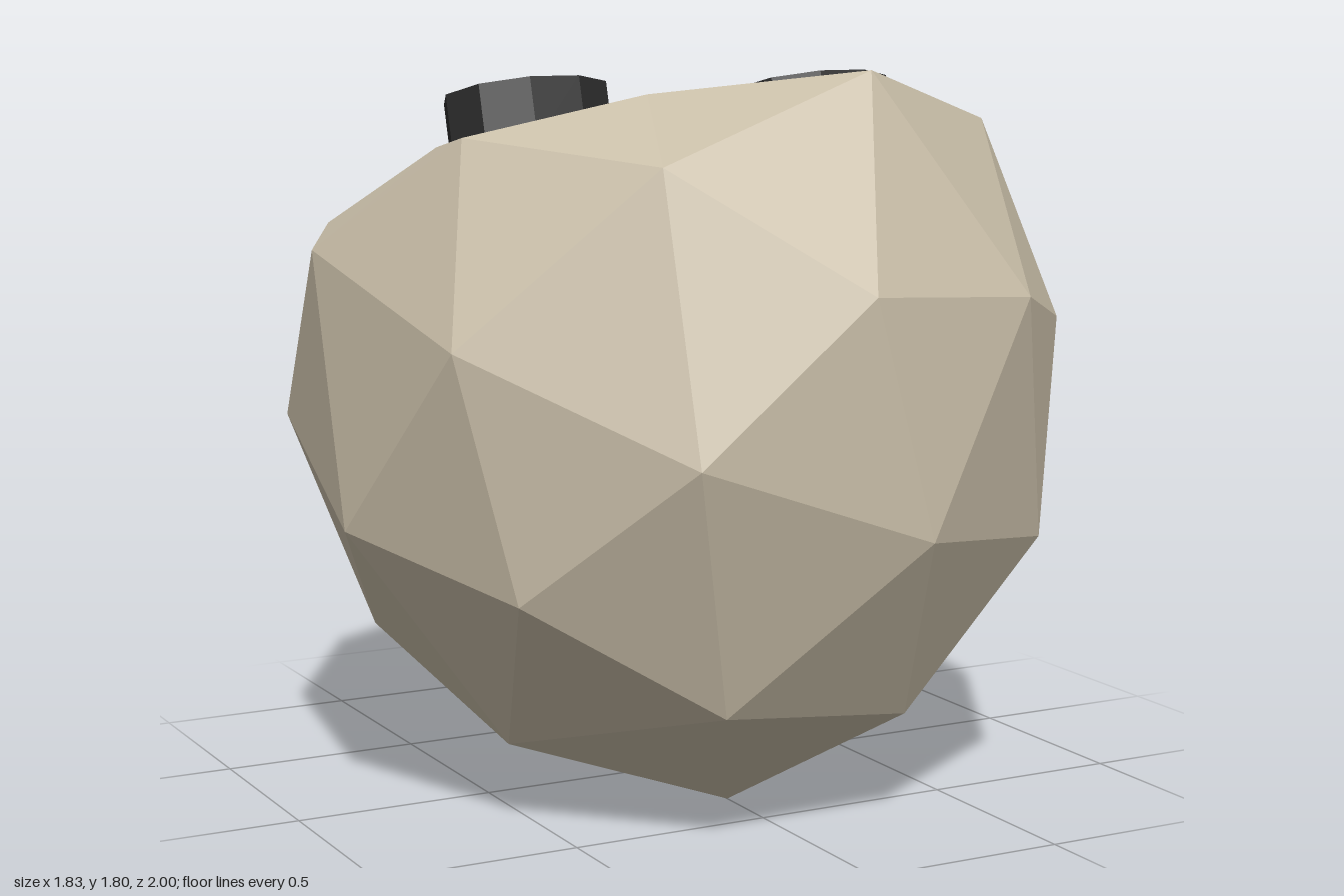
import * as THREE from 'three';

export function createModel() {
  const bone = new THREE.MeshStandardMaterial({ color: 0xcbc0aa, flatShading: true });
  bone.name = 'bone';
  const dark = new THREE.MeshStandardMaterial({ color: 0x2d2d2d, flatShading: true });
  dark.name = 'dark sockets';

  const model = new THREE.Group();
  model.name = 'skull';

  // Head frame: local y is the face normal, local -z points to the chin
  const head = new THREE.Group();
  head.name = 'head';
  head.position.set(0, 1.05, 0.03);
  head.rotation.x = -0.272;
  model.add(head);

  const add = (parent, name, geometry, material, x = 0, y = 0, z = 0) => {
    const mesh = new THREE.Mesh(geometry, material);
    mesh.name = name;
    mesh.position.set(x, y, z);
    parent.add(mesh);
    return mesh;
  };

  // Cranium: faceted ball, its face side pressed to a shallow dome
  const ball = new THREE.IcosahedronGeometry(1, 1);
  ball.rotateY(-1.01722);
  const p = ball.attributes.position;
  for (let i = 0; i < p.count; i++) {
    const y = p.getY(i);
    if (y > 0.44 && Math.abs(p.getZ(i)) < 0.8) p.setY(i, 0.44 + (y - 0.44) * 0.236);
  }
  ball.scale(0.962, 1.085, 1);
  ball.computeVertexNormals();
  add(head, 'cranium', ball, bone);

  // Eye sockets: ten-sided oval discs
  for (const side of [-1, 1]) {
    const eye = new THREE.CylinderGeometry(0.206, 0.206, 0.15, 10);
    eye.rotateY(Math.PI / 2);
    eye.scale(1, 1, 0.88);
    add(head, side > 0 ? 'leftEye' : 'rightEye', eye, dark, side * 0.395, 0.587, 0.174);
  }

  // Nose: triangular prism pointing to the chin
  const nose = new THREE.CylinderGeometry(0.1, 0.1, 0.1, 3);
  nose.rotateY(Math.PI);
  add(head, 'nose', nose, dark, 0, 0.604, -0.061);

  // Row of six teeth
  for (let i = 0; i < 6; i++) {
    add(head, 'tooth', new THREE.BoxGeometry(0.08, 0.1, 0.138), bone, (i - 2.5) * 0.1055, 0.516, -0.597);
  }

  // Jaw: bar bent around the chin; corners are [y, z] for top/bottom, inner/outer
  const middle = { topIn: [1.36, -0.875], topOut: [1.306, -1], lowIn: [1.22, -0.79], lowOut: [1.15, -0.91] };
  const end = { topIn: [1.26, -0.815], topOut: [1.243, -0.907], lowIn: [1.17, -0.79], lowOut: [1.18, -0.875] };
  const jaw = new THREE.BoxGeometry(2, 2, 2, 2, 1, 1);
  const q = jaw.attributes.position;
  for (let i = 0; i < q.count; i++) {
    const x = q.getX(i);
    const corner = (q.getY(i) > 0 ? 'top' : 'low') + (q.getZ(i) > 0 ? 'In' : 'Out');
    const [y, z] = (Math.abs(x) < 0.5 ? middle : end)[corner];
    q.setXYZ(i, x * 0.32, y, z);
  }
  jaw.computeVertexNormals();
  add(model, 'jaw', jaw, bone);

  return model;
}
